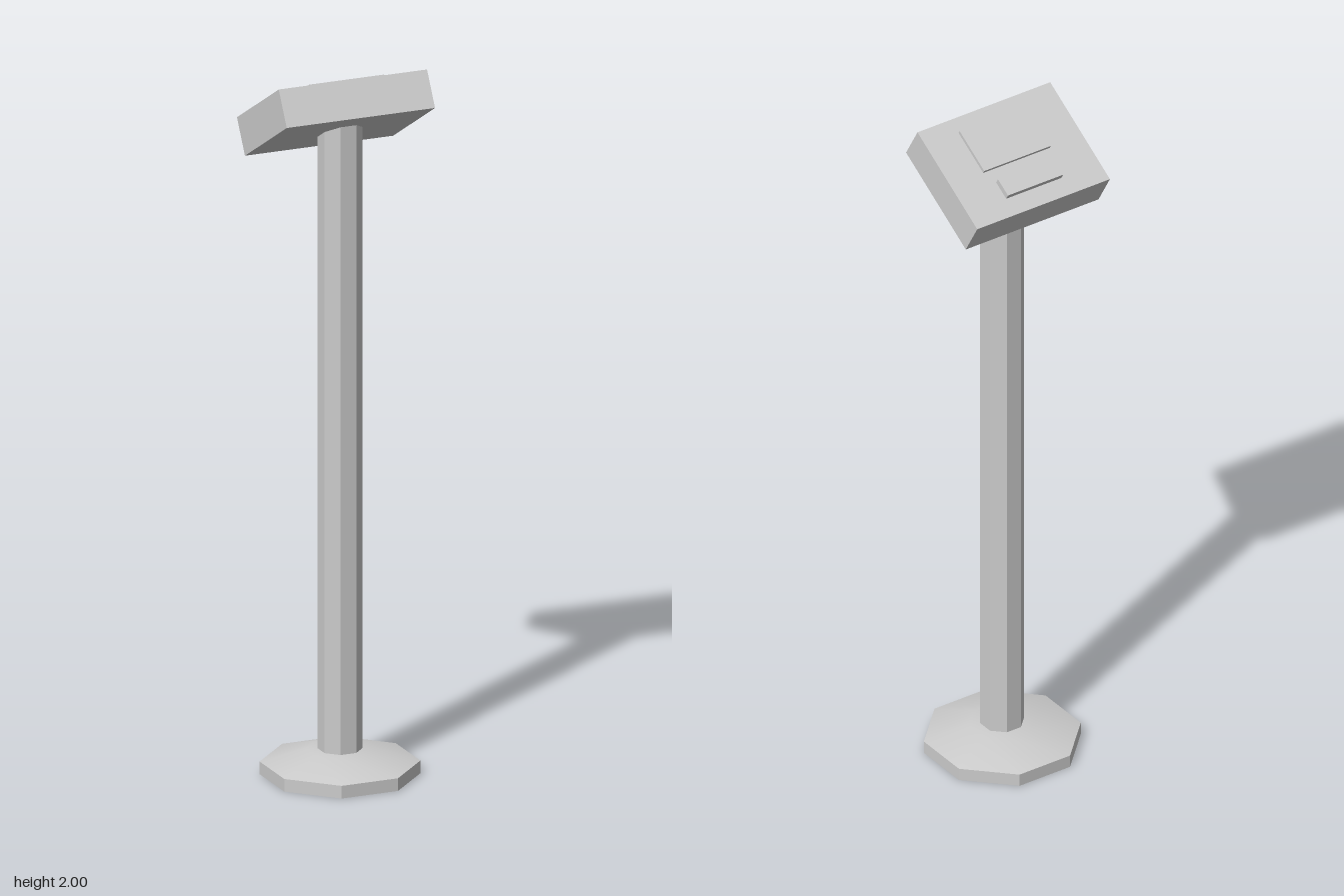
import * as THREE from 'three';
import { toCreasedNormals } from 'three/addons/utils/BufferGeometryUtils.js';

export function createModel() {
  const model = new THREE.Group();
  model.name = 'pedestalTerminal';
  const material = new THREE.MeshStandardMaterial({ color: 0xcccccc });

  const add = (parent, name, geometry, x, y, z) => {
    const mesh = new THREE.Mesh(geometry, material);
    mesh.name = name;
    mesh.position.set(x, y, z);
    parent.add(mesh);
    return mesh;
  };

  // Octagon with a flat side facing the front: apothem to corner radius
  const corner = (apothem) => apothem / Math.cos(Math.PI / 8);

  // Foot: short upright rim, shallow sloping top
  const profile = [[0, 0], [0.201, 0], [0.201, 0.036], [0.085, 0.073], [0, 0.073]]
    .map(([r, y]) => new THREE.Vector2(corner(r), y));
  const foot = new THREE.LatheGeometry(profile, 8, Math.PI / 8);
  add(model, 'base', toCreasedNormals(foot, Math.PI / 6), 0, 0, -0.002);

  // Post, running up into the underside of the head
  const post = new THREE.CylinderGeometry(corner(0.056), corner(0.056), 1.82, 8, 1, false, Math.PI / 8);
  add(model, 'post', toCreasedNormals(post, Math.PI / 6), 0, 0.97, -0.001);

  // Tilted head with raised panels on its upper face
  const head = new THREE.Group();
  head.name = 'head';
  head.position.set(0, 1.873, -0.029);
  head.rotation.x = -Math.PI / 6;
  model.add(head);

  const thickness = 0.108;
  add(head, 'housing', new THREE.BoxGeometry(0.438, thickness, 0.326), 0, 0, 0);

  // Panels start slightly inside the housing
  const addPanel = (name, width, height, depth, z) => {
    const sunk = 0.01;
    add(head, name, new THREE.BoxGeometry(width, height + sunk, depth),
      0, thickness / 2 + (height - sunk) / 2, z);
  };
  addPanel('screen', 0.22, 0.01, 0.135, 0.052);
  addPanel('keypad', 0.182, 0.017, 0.055, -0.082);

  return model;
}
